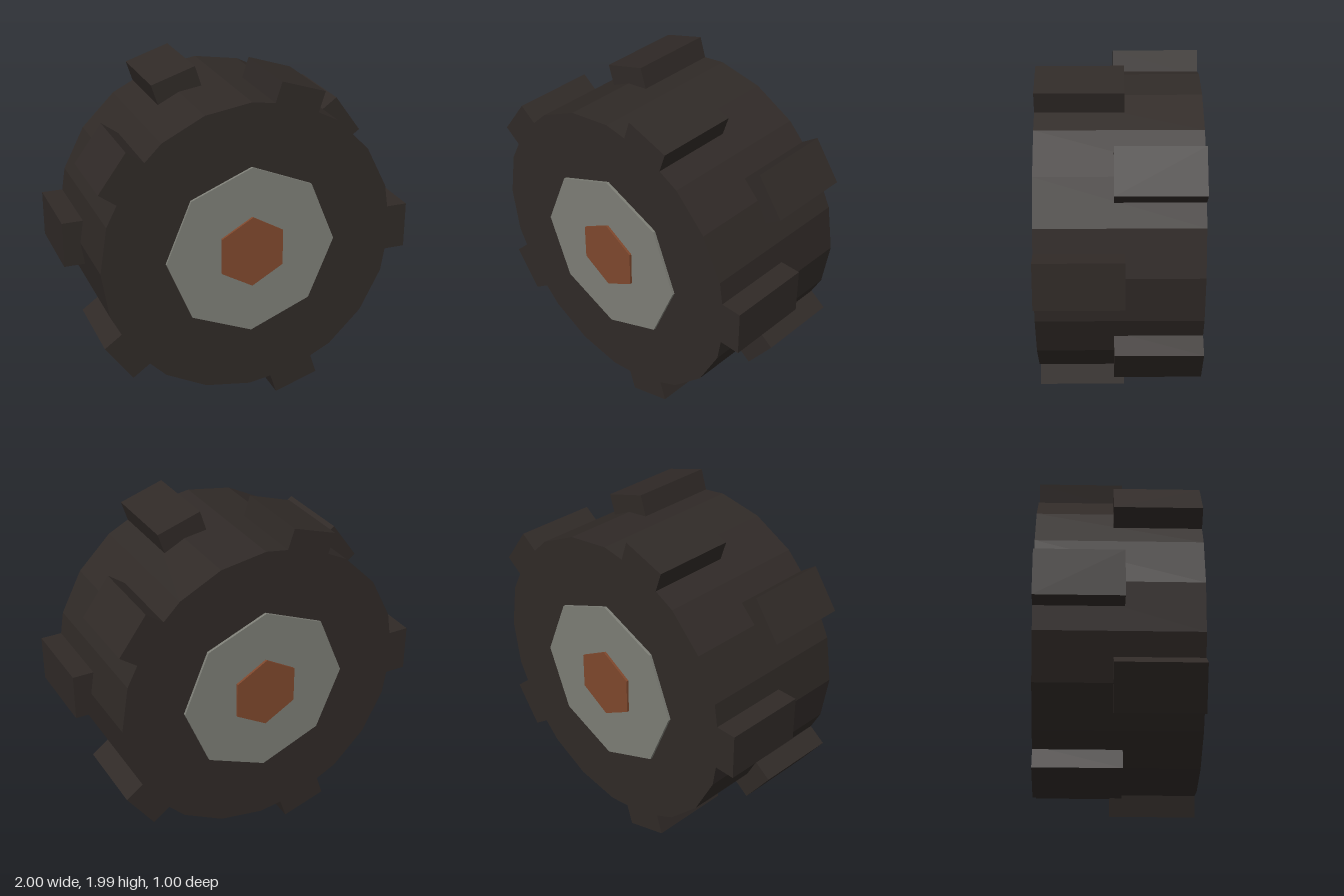
import * as THREE from 'three';

const material = (color) => new THREE.MeshStandardMaterial({ color, flatShading: true });

// Prism along z with its first corner pointing up
function prism(name, radius, sides, depth, mat) {
  const geometry = new THREE.CylinderGeometry(radius, radius, depth, sides);
  geometry.rotateX(-Math.PI / 2);
  const mesh = new THREE.Mesh(geometry, mat);
  mesh.name = name;
  return mesh;
}

export function createModel() {
  const rubber = material(0x302a27);
  const metal = material(0x7d7e76);
  const rust = material(0x7f482d);

  const wheel = new THREE.Group();
  wheel.name = 'wheel';
  wheel.position.y = 0.995;

  // Tyre body, hub disc and axle nut, each showing on both sides
  wheel.add(
    prism('tyre', 0.896, 20, 0.94, rubber),
    prism('hubDisc', 0.517, 8, 0.972, metal),
    prism('axleNut', 0.217, 6, 1.0, rust),
  );

  // Tread lugs, alternating between the front and the back half
  const lugGeometry = new THREE.BoxGeometry(0.15, 0.278, 0.5);
  for (let i = 0; i < 10; i++) {
    const angle = (i * Math.PI) / 5;
    const lug = new THREE.Mesh(lugGeometry, rubber);
    lug.name = 'treadLug';
    lug.position.set(0.925 * Math.cos(angle), 0.925 * Math.sin(angle), i % 2 ? -0.22 : 0.22);
    lug.rotation.z = angle;
    wheel.add(lug);
  }

  const model = new THREE.Group();
  model.name = 'treadedWheel';
  model.add(wheel);
  return model;
}
